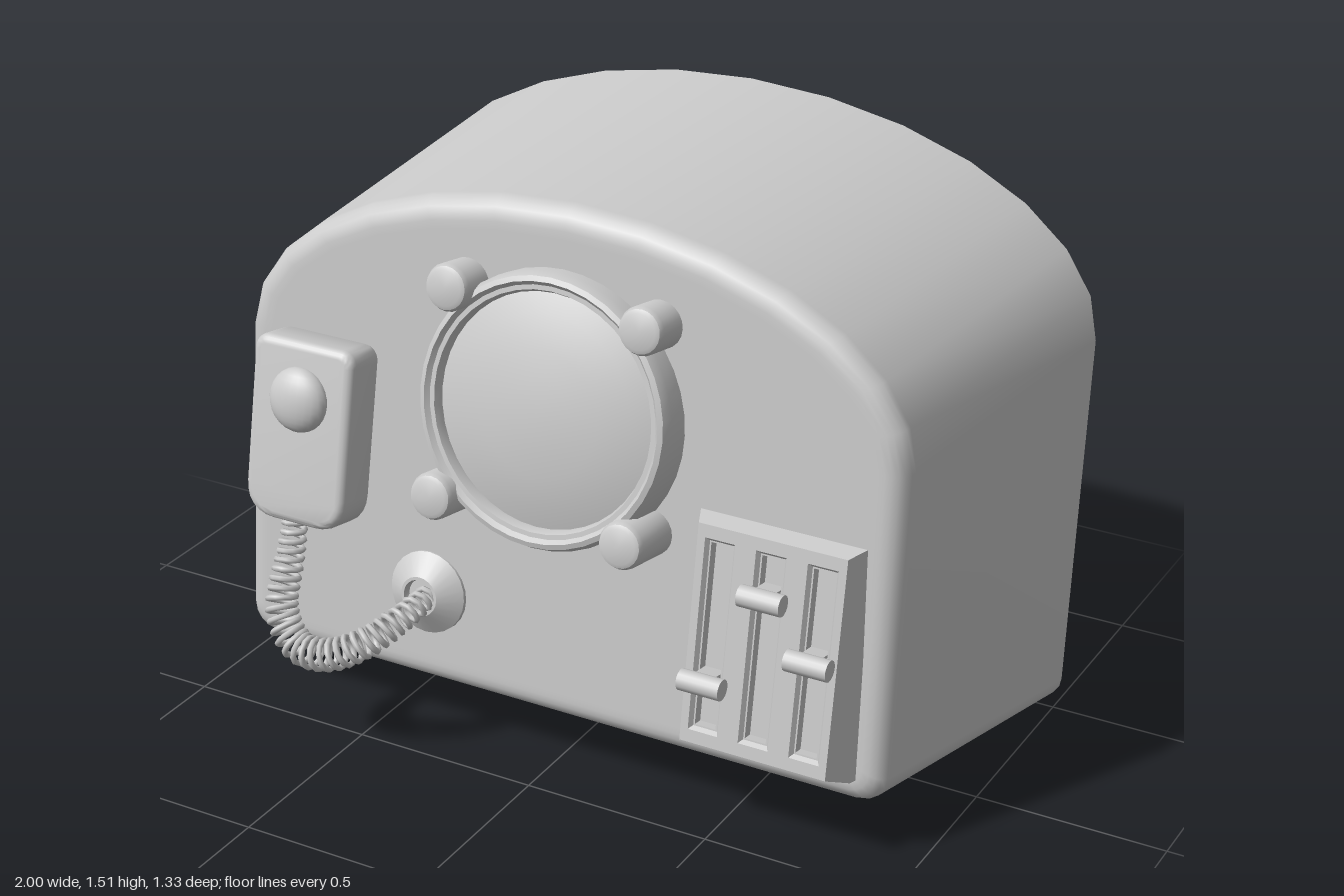
import * as THREE from 'three';
import { toCreasedNormals } from 'three/addons/utils/BufferGeometryUtils.js';

const grey = new THREE.MeshStandardMaterial({ color: 0xcccccc });
const greyThin = new THREE.MeshStandardMaterial({ color: 0xcccccc, side: THREE.DoubleSide });

function add(parent, name, geometry, x = 0, y = 0, z = 0, material = grey) {
  const mesh = new THREE.Mesh(geometry, material);
  mesh.name = name;
  mesh.position.set(x, y, z);
  parent.add(mesh);
  return mesh;
}

// Group leaning back by a given angle
function leaning(parent, name, x, y, z, tilt) {
  const g = new THREE.Group();
  g.name = name;
  g.position.set(x, y, z);
  g.rotation.x = -tilt;
  parent.add(g);
  return g;
}

// Skin over rings of [x, y, z] points, with optional fans closing the ends
function loft(rings, capStart, capEnd) {
  const n = rings[0].length, pos = rings.flat(2), index = [];
  for (let i = 0; i < rings.length - 1; i++) {
    for (let j = 0; j < n; j++) {
      const a = i * n + j, b = i * n + (j + 1) % n;
      index.push(a, b, b + n, a, b + n, a + n);
    }
  }
  const cap = (i, flip) => {
    const c = pos.length / 3;
    for (let k = 0; k < 3; k++) pos.push(rings[i].reduce((s, p) => s + p[k], 0) / n);
    for (let j = 0; j < n; j++) {
      const a = i * n + j, b = i * n + (j + 1) % n;
      index.push(c, flip ? b : a, flip ? a : b);
    }
  };
  if (capStart) cap(0, true);
  if (capEnd) cap(rings.length - 1, false);
  const g = new THREE.BufferGeometry();
  g.setAttribute('position', new THREE.Float32BufferAttribute(pos, 3));
  g.setIndex(index);
  g.computeVertexNormals();
  return g;
}

const rect = (hw, hh, z) => [[-hw, -hh, z], [hw, -hh, z], [hw, hh, z], [-hw, hh, z]];

function flat(geometry) {
  const g = geometry.toNonIndexed();
  g.computeVertexNormals();
  return g;
}

// Arched outline with rounded lower corners, on a plane leaning back
function archRing(hw, yb, ys, yt, r, z0, slope) {
  const pts = [];
  const put = (x, y) => pts.push([x, y, z0 - slope * y]);
  const corner = (side, from) => {
    for (let i = 0; i <= 4; i++) {
      const a = from + i * Math.PI / 8;
      put(side * (hw - r) + r * Math.cos(a), yb + r + r * Math.sin(a));
    }
  };
  corner(-1, Math.PI);
  corner(1, Math.PI * 1.5);
  for (let i = 0; i <= 14; i++) {
    const a = i * Math.PI / 14;
    put(hw * Math.cos(a), ys + (yt - ys) * Math.sin(a));
  }
  return pts;
}

function housing() {
  const rings = [archRing(1, 0, 1, 1.51, 0.06, -0.545, 0.08)];
  const front = (inset, z) => rings.push(
    archRing(0.918 - inset, 0.15 + inset, 1, 1.475 - inset, 0.07 - inset * 0.5, z, 0.086));
  for (let i = 0; i <= 5; i++) {
    const a = i * Math.PI / 10;
    front(0.055 * (1 - Math.cos(a)), 0.363 + 0.054 * Math.sin(a));
  }
  front(0.075, 0.417);
  return loft(rings, false, true);
}

// Lathe whose axis points to the front
function turned(points, segments) {
  const g = new THREE.LatheGeometry(points.map(p => new THREE.Vector2(...p)), segments);
  g.rotateX(Math.PI / 2);
  return toCreasedNormals(g, 0.6);
}

function buildSpeaker(root) {
  const s = leaning(root, 'speaker', 0, 1, 0.43, 0.185);
  add(s, 'speakerRing', turned([[0, -0.15], [0.345, -0.15], [0.345, -0.03], [0.335, -0.005],
    [0.322, 0], [0.312, -0.012], [0.3, -0.012], [0.293, -0.03], [0.293, -0.05]], 40));
  add(s, 'speakerDome', turned([[0.296, -0.04], [0.24, -0.02], [0.16, -0.002],
    [0.08, 0.008], [0, 0.012]], 40));
  for (const x of [-0.265, 0.265]) for (const y of [-0.263, 0.263]) {
    add(s, 'speakerBolt', turned([[0, -0.15], [0.06, -0.15], [0.06, 0.018],
      [0.054, 0.03], [0.044, 0.035], [0, 0.035]], 20), x, y, 0);
  }
}

function buildSliderPanel(root) {
  const p = leaning(root, 'sliderPanel', 0.617, 0.53, 0.447, 0.16);
  add(p, 'panelBody', flat(loft([rect(0.235, 0.3, -0.12), rect(0.228, 0.3, -0.075),
    rect(0.195, 0.278, 0)], true, false)));
  const path = (pts, Type) => new Type(pts.map(q => new THREE.Vector2(q[0], q[1])));
  const face = path(rect(0.195, 0.278, 0), THREE.Shape);
  [[-0.135, -0.11], [0, 0.138], [0.135, 0.01]].forEach(([x, y]) => {
    face.holes.push(path(rect(0.04, 0.245, 0).map(q => [q[0] + x, q[1]]), THREE.Path));
    add(p, 'sliderSlot', flat(loft([rect(0.04, 0.245, 0), rect(0.032, 0.237, -0.012),
      rect(0.028, 0.233, -0.012), rect(0.028, 0.233, -0.04)], false, true)), x, 0, 0);
    add(p, 'sliderStem', new THREE.BoxGeometry(0.054, 0.04, 0.07), x, y, -0.003);
    const knob = add(p, 'sliderKnob', new THREE.CylinderGeometry(0.027, 0.027, 0.112, 16), x, y, 0.03);
    knob.rotation.z = Math.PI / 2;
  });
  add(p, 'panelFace', new THREE.ShapeGeometry(face));
}

function buildMicrophone(root) {
  const m = leaning(root, 'microphone', -0.647, 0.83, 0.515, 0.19);
  const bevel = 0.022, w = 0.1475 - bevel, h = 0.235 - bevel, r = 0.02, R = 0.065;
  const s = new THREE.Shape();
  s.moveTo(-w + R, -h);
  s.lineTo(w - R, -h);
  s.quadraticCurveTo(w, -h, w, -h + R);
  s.lineTo(w, h - r);
  s.quadraticCurveTo(w, h, w - r, h);
  s.lineTo(-w + r, h);
  s.quadraticCurveTo(-w, h, -w, h - r);
  s.lineTo(-w, -h + R);
  s.quadraticCurveTo(-w, -h, -w + R, -h);
  const body = new THREE.ExtrudeGeometry(s, { depth: 0.13 - 2 * bevel, bevelSize: bevel,
    bevelThickness: bevel, bevelSegments: 4, curveSegments: 6 });
  add(m, 'microphoneBody', toCreasedNormals(body, 0.7), 0, 0, -0.13 + bevel);
  add(m, 'microphoneButton', new THREE.SphereGeometry(0.083, 24, 14), 0, 0.09, 0).scale.z = 0.55;
}

// Curly cord wound around a hanging path
function buildCord(root) {
  const v = (x, y, z) => new THREE.Vector3(x, y, z);
  const path = new THREE.CatmullRomCurve3([v(-0.667, 0.62, 0.5), v(-0.668, 0.5, 0.54),
    v(-0.658, 0.37, 0.6), v(-0.6, 0.295, 0.62), v(-0.51, 0.293, 0.62), v(-0.42, 0.335, 0.585),
    v(-0.36, 0.385, 0.5), v(-0.34, 0.41, 0.41)]);
  const turns = 32, n = turns * 10, frames = path.computeFrenetFrames(n), pts = [];
  for (let i = 0; i <= n; i++) {
    const a = i / 10 * Math.PI * 2, r = 0.025 + 0.013 * Math.sin(Math.PI * i / n);
    pts.push(path.getPointAt(i / n)
      .addScaledVector(frames.normals[i], r * Math.cos(a))
      .addScaledVector(frames.binormals[i], r * Math.sin(a)));
  }
  add(root, 'coiledCord', new THREE.TubeGeometry(new THREE.CatmullRomCurve3(pts), n, 0.008, 6));
  const socket = leaning(root, 'cordSocket', -0.355, 0.405, 0.385, 0.14);
  add(socket, 'cordSocketCone', turned([[0, -0.03], [0.108, -0.03], [0.108, 0.008], [0.052, 0.05],
    [0.044, 0.05], [0.04, 0.03], [0, 0.03]], 24));
}

export function createModel() {
  const root = new THREE.Group();
  root.name = 'intercomUnit';
  add(root, 'housing', housing(), 0, 0, 0, greyThin);
  buildSpeaker(root);
  buildSliderPanel(root);
  buildMicrophone(root);
  buildCord(root);
  return root;
}
